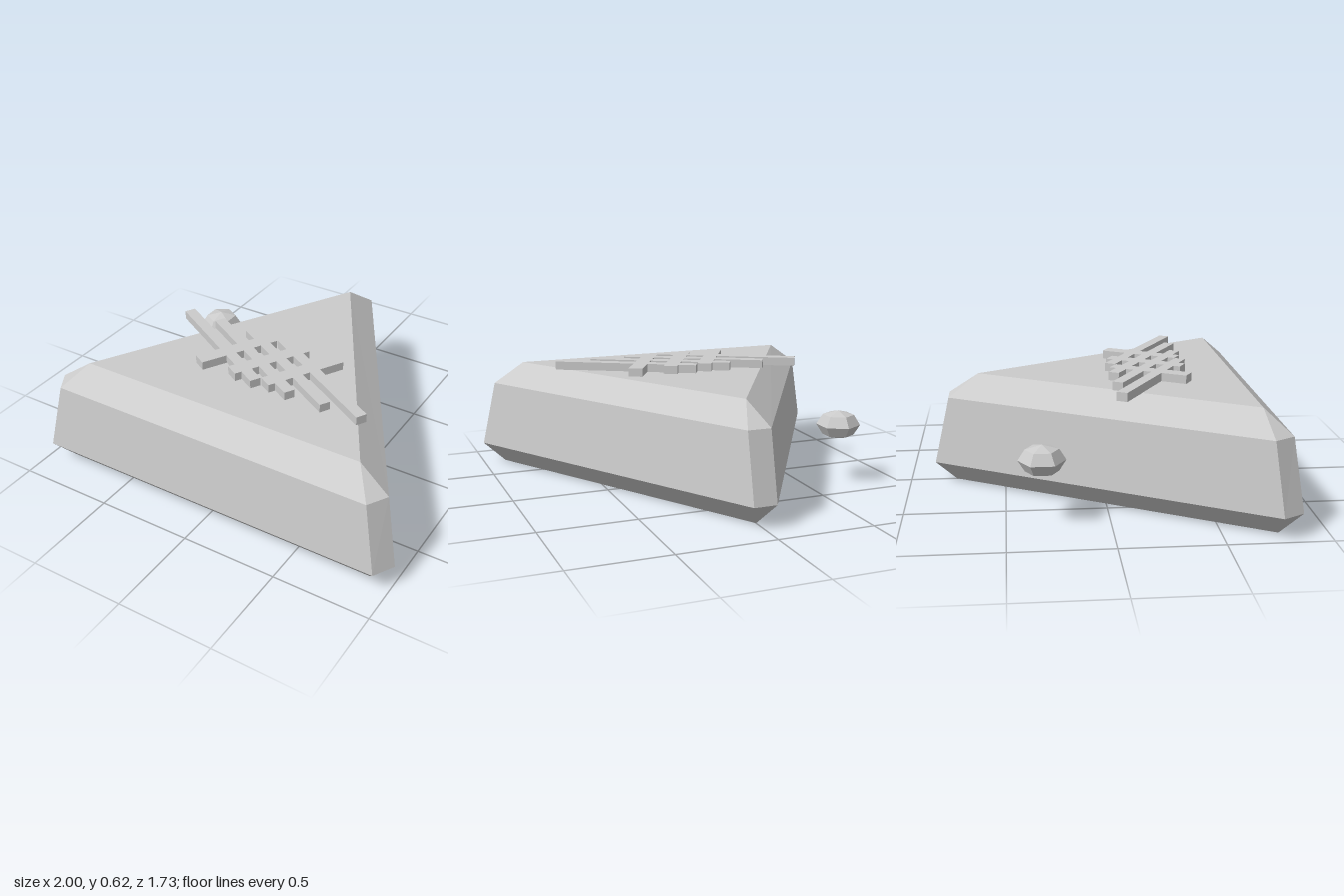
import * as THREE from 'three';

const material = new THREE.MeshStandardMaterial({ color: 0xcccccc, flatShading: true, side: THREE.FrontSide });

function addMesh(parent, name, geometry) {
  const mesh = new THREE.Mesh(geometry, material);
  mesh.name = name;
  parent.add(mesh);
  return mesh;
}

// A triangle with cut corners: front corner, side corner, back corner, then mirrored
function cutTriangle(y, [xFront, zFront], [xSide, zSide], [xBack, zBack]) {
  const half = [[xFront, zFront], [xSide, zSide], [xBack, zBack]];
  const mirrored = half.map(([x, z]) => [-x, z]).reverse();
  return [...half, ...mirrored].map(([x, z]) => new THREE.Vector3(x, y, z));
}

// Joins rings of equal length into a closed, faceted solid
function loft(rings) {
  const positions = [];
  const triangle = (a, b, c) => {
    if (a.equals(b) || b.equals(c) || a.equals(c)) return;
    for (const p of [a, b, c]) positions.push(p.x, p.y, p.z);
  };
  const n = rings[0].length;
  for (let r = 0; r < rings.length - 1; r++) {
    const low = rings[r], high = rings[r + 1];
    for (let i = 0; i < n; i++) {
      const j = (i + 1) % n;
      triangle(low[i], low[j], high[j]);
      triangle(low[i], high[j], high[i]);
    }
  }
  const bottom = rings[0], top = rings[rings.length - 1];
  for (let i = 1; i < n - 1; i++) {
    triangle(bottom[0], bottom[i + 1], bottom[i]);
    triangle(top[0], top[i], top[i + 1]);
  }
  const geometry = new THREE.BufferGeometry();
  geometry.setAttribute('position', new THREE.Float32BufferAttribute(positions, 3));
  geometry.computeVertexNormals();
  return geometry;
}

export function createModel() {
  const model = new THREE.Group();
  model.name = 'triangularStone';

  // Bevelled triangular body, sharp-cornered at its base and top
  addMesh(model, 'body', loft([
    cutTriangle(0, [0.88, 0.765], [0.88, 0.765], [0, -0.76]),
    cutTriangle(0.115, [0.94, 0.865], [1, 0.76], [0.06, -0.865]),
    cutTriangle(0.465, [0.87, 0.82], [0.93, 0.72], [0.06, -0.785]),
    cutTriangle(0.577, [0.77, 0.695], [0.77, 0.695], [0, -0.63]),
  ]));

  // Raised lattice on the top: four long bars crossed by three short ones
  const lattice = new THREE.Group();
  lattice.name = 'lattice';
  lattice.position.set(0.017, 0.598, 0.249);
  model.add(lattice);
  const spacing = 0.194;
  const addBars = (name, count, length, width, angle) => {
    for (let i = 0; i < count; i++) {
      const bar = addMesh(lattice, name, new THREE.BoxGeometry(length, 0.044, width));
      bar.position.x = (i - (count - 1) / 2) * spacing;
      bar.rotation.y = angle;
    }
  };
  addBars('longBar', 4, 0.765, 0.056, -Math.PI / 6);
  addBars('crossBar', 3, 0.42, 0.075, Math.PI / 3);

  // Small flattened gem floating beside the body
  const gem = addMesh(model, 'gem', new THREE.SphereGeometry(0.115, 6, 4));
  gem.position.set(-0.675, 0.32, -0.325);
  gem.scale.y = 0.66;
  gem.rotation.y = Math.PI / 6;

  return model;
}
